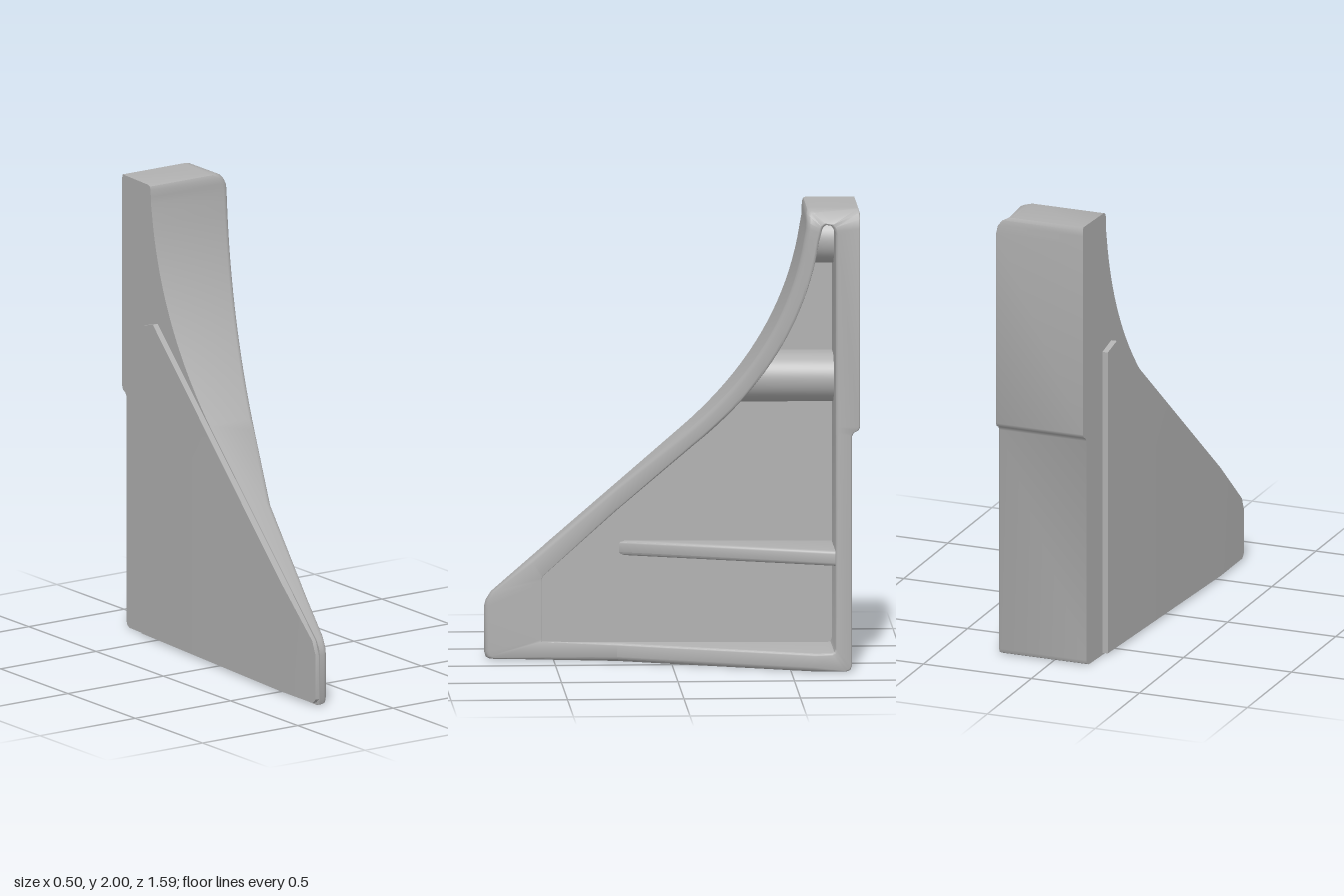
import * as THREE from 'three';
import { toCreasedNormals } from 'three/addons/utils/BufferGeometryUtils.js';

// Plan rules: x of each long face as a function of z (and y for the rounded top corner)
const leftX = z => -0.155 - 0.053 * (z + 0.79);
const padX = z => Math.max(-0.255, -0.19 - 0.058 * (z + 0.6));
const webX = z => -0.08 - 0.063 * (z + 0.69);
function rightX(z, y) {
  let x = 0.25;
  if (z > 0.23) x = -0.1 - 0.1 * (z - 0.23) / 0.56;
  else if (z > -0.6) x = 0.25 - 0.35 * (z + 0.6) / 0.83;
  const r = 0.08, dy = Math.min(r, Math.max(0, y - (2 - r)));
  return x - (r - Math.sqrt(r * r - dy * dy));
}

// Concave front sweep as [z, y] points, moved inward by a given offset
const sweep = new THREE.QuadraticBezierCurve(
  new THREE.Vector2(-0.05, 1.004), new THREE.Vector2(-0.511, 1.407), new THREE.Vector2(-0.565, 1.95));
function sweepPoints(offset, end = 1) {
  const pts = [];
  for (let i = 0; i <= 20; i++) {
    const t = end * i / 20, p = sweep.getPoint(t), d = sweep.getTangent(t);
    pts.push([p.x - d.y * offset, p.y + d.x * offset]);
  }
  return pts;
}

// Frame stations: outer [z, y] paired with the pocket edge [z, y], clockwise from the nose
function frameStations() {
  const inner = sweepPoints(0.065, 0.93);
  return [
    [0.77, 0, 0.55, 0.08], [0.788, 0.008, 0.55, 0.09], [0.795, 0.03, 0.55, 0.1],
    [0.795, 0.225, 0.55, 0.33], [0.788, 0.253, 0.55, 0.345], [0.765, 0.29, 0.55, 0.355],
    [0.6, 0.435, 0.545, 0.365], [0.23, 0.759, 0.23, 0.656],
    ...sweepPoints(0, 0.93).map((p, i) => [...p, ...inner[i]]),
    [-0.5635, 1.92, -0.629, 1.9], [-0.565, 1.95, -0.632, 1.915], [-0.566, 1.98, -0.637, 1.925],
    [-0.572, 1.995, -0.645, 1.932], [-0.585, 2, -0.65, 1.935], [-0.79, 2, -0.67, 1.932],
    [-0.795, 1.985, -0.68, 1.92], [-0.795, 1.96, -0.687, 1.905], [-0.795, 1.92, -0.69, 1.89],
    [-0.795, 1.06, -0.69, 1.06], [-0.788, 1.045, -0.69, 1.045], [-0.768, 1.035, -0.69, 1.035],
    [-0.76, 1.02, -0.69, 1.02], [-0.76, 0.025, -0.69, 0.1], [-0.753, 0.008, -0.684, 0.086],
    [-0.735, 0, -0.67, 0.08], [-0.6, 0, -0.6, 0.08], [0.23, 0, 0.23, 0.08]];
}

// Loop of cross-sections with rounded edges on the open side
function frameGeometry() {
  const rows = frameStations().map(([pz, py, qz, qy]) => {
    const len = Math.hypot(qz - pz, qy - py), dz = (qz - pz) / len, dy = (qy - py) / len;
    const row = [[leftX(pz), py, pz]];
    const edge = (offset, drop) => {
      const z = pz + dz * offset, y = py + dy * offset;
      row.push([rightX(z, y) - drop, y, z]);
    };
    const b = pz < -0.7 ? 0.006 : 0.02, c = qz > 0.5 ? 0.002 : 0.012;
    for (let k = 0; k <= 3; k++) {
      const a = k * Math.PI / 6;
      edge(b * (1 - Math.cos(a)), b * (1 - Math.sin(a)));
    }
    for (let k = 3; k >= 0; k--) {
      const a = k * Math.PI / 6;
      edge(len - c * (1 - Math.cos(a)), c * (1 - Math.sin(a)));
    }
    row.push([leftX(qz), qy, qz]);
    return row;
  });
  const n = rows[0].length, index = [];
  rows.forEach((_, i) => {
    const i2 = (i + 1) % rows.length;
    for (let j = 0; j < n; j++) {
      const j2 = (j + 1) % n;
      const a = i * n + j, b = i * n + j2, c = i2 * n + j, d = i2 * n + j2;
      index.push(a, b, c, b, d, c);
    }
  });
  const geo = new THREE.BufferGeometry();
  geo.setAttribute('position', new THREE.Float32BufferAttribute(rows.flat(2), 3));
  geo.setIndex(index);
  return toCreasedNormals(geo, 0.7);
}

// Plate from a [z, y] outline, with its two faces set by x rules
function plate(outline, left, right) {
  const shape = new THREE.Shape(outline.map(([z, y]) => new THREE.Vector2(-z, y)));
  const geo = new THREE.ExtrudeGeometry(shape, { depth: 1, bevelEnabled: false });
  const p = geo.attributes.position;
  for (let i = 0; i < p.count; i++) {
    const z = -p.getX(i);
    p.setXYZ(i, p.getZ(i) > 0.5 ? right(z) : left(z), p.getY(i), z);
  }
  return toCreasedNormals(geo, 0.7);
}

export function createModel() {
  const group = new THREE.Group();
  const grey = new THREE.MeshStandardMaterial({ color: 0xb0b0b0 });
  grey.name = 'plain grey';
  const add = (name, geo) => {
    const mesh = new THREE.Mesh(geo, grey);
    mesh.name = name;
    group.add(mesh);
  };

  // Back plate, bottom flange, nose and swept flange around a pocket
  add('frame', frameGeometry());

  // Web: the thin wall closing the pocket on the outer side
  const middle = sweepPoints(0.03);
  add('web', plate(
    [[0.552, 0.04], [0.552, 0.437], ...middle, [-0.72, 1.96], [-0.72, 0.04]], leftX, webX));

  // Raised pad on the outer face
  add('sidePad', plate(
    [[0.765, 0.01], [0.785, 0.03], [0.785, 0.225], [0.76, 0.285], [0.52, 0.5],
      [-0.51, 1.4], [-0.6, 1.375], [-0.6, 0.01], [0.52, 0.01]], padX, z => leftX(z) + 0.01));

  // Horizontal rib in the pocket
  const b = 0.014;
  const ribShape = new THREE.Shape([[-0.17, -0.23], [-0.137, -0.22], [0.232, 0.69], [0.232, 0.72], [-0.12, 0.72]]
    .map(([x, y]) => new THREE.Vector2(x, y)));
  const rib = new THREE.ExtrudeGeometry(ribShape, {
    depth: 0.065 - 2 * b, bevelThickness: b, bevelSize: b, bevelOffset: -b, bevelSegments: 3 });
  rib.rotateX(-Math.PI / 2).translate(0, 0.455 + b, 0);
  add('rib', toCreasedNormals(rib, 0.7));

  // Fastener bosses from the back plate to the swept flange, joined to the web
  const sweepZ = y => {
    const i = middle.findIndex(p => p[1] >= y);
    if (i < 0) return middle[middle.length - 1][0];
    const [a, c] = [middle[i - 1], middle[i]];
    return a[0] + (c[0] - a[0]) * (y - a[1]) / (c[1] - a[1]);
  };
  for (const [name, cy] of [['lowerBoss', 1.245], ['upperBoss', 1.845]]) {
    const geo = new THREE.CylinderGeometry(0.105, 0.105, 1, 40).rotateX(Math.PI / 2);
    const p = geo.attributes.position;
    for (let i = 0; i < p.count; i++) {
      const x = p.getX(i), y = p.getY(i) + cy;
      p.setXYZ(i, x < -0.001 ? Math.max(x - 0.08, -0.13) : x + 0.01, y, p.getZ(i) > 0 ? sweepZ(y) : -0.72);
    }
    add(name, toCreasedNormals(geo, 0.7));
  }
  return group;
}
